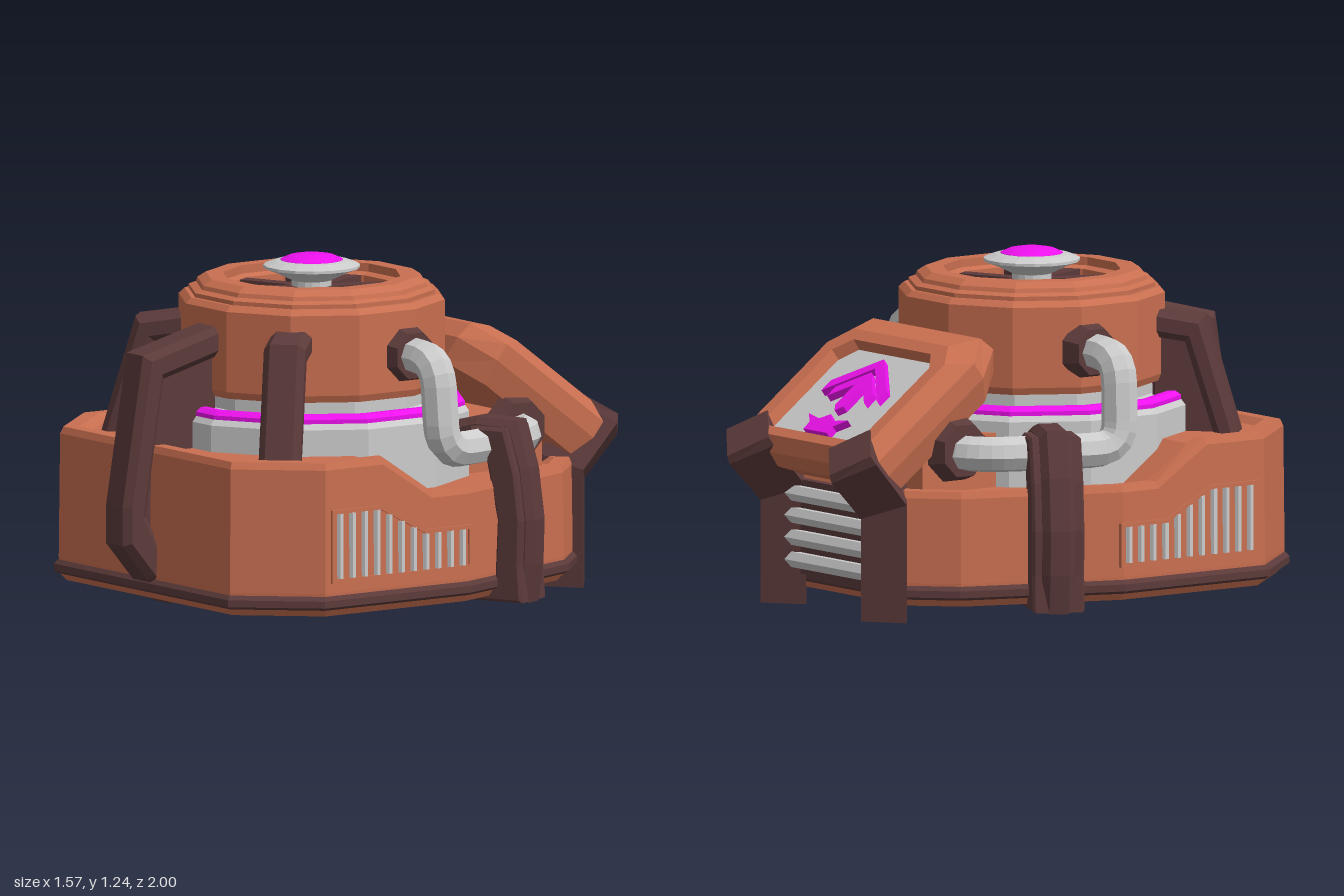
import * as THREE from 'three';

const mat = (color) => new THREE.MeshStandardMaterial({ color, flatShading: true });
const V = (x, y, z) => new THREE.Vector3(x, y, z);
const CZ = 0.13; // z of the turret axis

export function createModel() {
  const orange = mat(0xc96f50), dark = mat(0x5c3a3a), grey = mat(0xcccccc), glow = mat(0xee11ee);
  const model = new THREE.Group();

  const add = (name, geometry, material, parent = model) => {
    const mesh = new THREE.Mesh(geometry, material);
    mesh.name = name;
    parent.add(mesh);
    return mesh;
  };

  // Closed skin through stacked loops (anticlockwise from above), capped at both ends
  const loft = (rings) => {
    const pos = [], n = rings[0].length;
    const quad = (a, b, c, d) => [a, b, c, a, c, d].forEach((p) => pos.push(p.x, p.y, p.z));
    for (let k = 0; k < rings.length - 1; k++)
      for (let i = 0; i < n; i++) {
        const j = (i + 1) % n;
        quad(rings[k][i], rings[k][j], rings[k + 1][j], rings[k + 1][i]);
      }
    const lo = rings[0], hi = rings[rings.length - 1];
    for (let i = 0; i < n / 2 - 1; i++) {
      quad(hi[i], hi[i + 1], hi[n - 2 - i], hi[n - 1 - i]);
      quad(lo[n - 1 - i], lo[n - 2 - i], lo[i + 1], lo[i]);
    }
    const g = new THREE.BufferGeometry();
    g.setAttribute('position', new THREE.Float32BufferAttribute(pos, 3));
    g.computeVertexNormals();
    return g;
  };
  // Full loop from its +x half, listed front to back
  const mirrorRing = (half) => [...half, ...half.slice().reverse().map((p) => V(-p.x, p.y, p.z))];

  const polygon = (pts) => new THREE.Shape(pts.map((p) => new THREE.Vector2(p[0], p[1])));
  const plate = (pts, width, bevel) => new THREE.ExtrudeGeometry(polygon(pts), {
    depth: width - 2 * bevel, bevelEnabled: bevel > 0, bevelSize: bevel, bevelThickness: bevel,
    bevelOffset: -bevel, bevelSegments: 1,
  }).translate(0, 0, bevel - width / 2);

  // Hull: tall at the front, stepping down to the rear
  const outline = [[0.53, 0.88], [0.76, 0.62], [0.76, 0.36], [0.76, 0.14], [0.76, -0.02], [0.55, -0.6], [0.4, -0.75]];
  const hullRing = (s, height) => mirrorRing(outline.map(([x, z]) => V(x * s, height(z), 0.05 + (z - 0.05) * s)));
  const level = (y) => () => y;
  const top = (drop) => (z) => (z > 0.3 ? 0.61 : 0.47) - drop;
  add('hull', loft([hullRing(0.955, level(0.055)), hullRing(0.98, level(0.08)), hullRing(0.985, level(0.14)),
    hullRing(0.98, top(0.025)), hullRing(0.968, top(0)), hullRing(0.91, top(0)), hullRing(0.88, top(0.025))]), orange);
  add('skirtTrim', loft([hullRing(0.985, level(0.08)), hullRing(1.003, level(0.09)),
    hullRing(1.003, level(0.115)), hullRing(0.987, level(0.13))]), dark);

  // Turret: twelve-sided rings turned about one axis, flats facing forward
  const turned = (name, pts, material, sides = 12) => {
    const k = 1 / Math.cos(Math.PI / sides);
    const g = new THREE.LatheGeometry(pts.map(([r, y]) => new THREE.Vector2(r * k, y)), sides, Math.PI / sides);
    add(name, g, material).position.z = CZ;
  };
  turned('drum', [[0.55, 0.4], [0.55, 0.68], [0.535, 0.7], [0.42, 0.715], [0.42, 0.8]], grey);
  turned('glowRing', [[0.5, 0.69], [0.535, 0.695], [0.535, 0.715], [0.515, 0.73], [0.49, 0.73], [0.48, 0.7]], glow);
  turned('turretBody', [[0.38, 0.765], [0.455, 0.765], [0.465, 0.79], [0.465, 1.08], [0.445, 1.1], [0.43, 1.1],
    [0.43, 1.115], [0.405, 1.125], [0.4, 1.14], [0.37, 1.16], [0.31, 1.16], [0.31, 1.13], [0.285, 1.12],
    [0.285, 1.08]], orange);
  turned('fanRing', [[0.29, 1.08], [0.265, 1.08], [0.265, 1.04]], dark);
  turned('fanWell', [[0.27, 1.05], [0.235, 1.05], [0.235, 1.0], [0.19, 1.0], [0.19, 0.97], [0, 0.97]], orange);
  turned('fanHub', [[0.07, 0.97], [0.07, 1.14], [0.13, 1.17], [0.17, 1.185], [0.17, 1.195], [0.13, 1.21], [0.1, 1.215]], grey, 16);
  turned('hubLamp', [[0.115, 1.205], [0.11, 1.215], [0.08, 1.228], [0.04, 1.235], [0, 1.237]], glow, 20);
  for (let i = 0; i < 8; i++) {
    const spoke = add('fanSpoke', new THREE.BoxGeometry(0.055, 0.06, 0.25).translate(0, 1.09, 0.19), dark);
    spoke.position.z = CZ;
    spoke.rotation.y = (i + 0.5) * Math.PI / 4;
  }

  // Ribs: radial outlines (radius, height) turned to an angle from the front
  const rib = (name, angle, z, bar, barWidth, web, webWidth) => {
    const g = new THREE.Group();
    g.name = name;
    g.position.z = z;
    g.rotation.y = angle - Math.PI / 2;
    add('ribBar', plate(bar, barWidth, 0.025), dark, g);
    add('ribWeb', plate(web, webWidth, 0.01), dark, g);
    model.add(g);
  };
  rib('frontRib', 0, CZ,
    [[0.42, 1.03], [0.78, 0.94], [0.87, 0.4], [0.87, 0.26], [0.76, 0.13], [0.66, 0.035], [0.58, 0.06], [0.68, 0.2],
      [0.77, 0.36], [0.69, 0.85], [0.42, 0.92]], 0.15,
    [[0.44, 0.95], [0.73, 0.89], [0.82, 0.4], [0.82, 0.28], [0.72, 0.17], [0.45, 0.4]], 0.07);
  for (const s of [1, -1]) {
    rib('diagonalRib', s * Math.PI / 4, CZ,
      [[0.42, 1.03], [0.63, 1.0], [0.76, 0.56], [0.67, 0.56], [0.56, 0.91], [0.42, 0.93]], 0.15,
      [[0.44, 0.95], [0.58, 0.92], [0.69, 0.57], [0.44, 0.57]], 0.07);
    // narrow ridge over a wider pad gripping the hull edge
    rib('sideClamp', s * 2.016, 0.05,
      [[0.5, 0.66], [0.62, 0.69], [0.78, 0.685], [0.83, 0.52], [0.855, 0.33], [0.85, 0.17], [0.83, 0.03], [0.74, 0.03],
        [0.75, 0.33], [0.68, 0.57], [0.5, 0.57]], 0.12,
      [[0.6, 0.6], [0.62, 0.66], [0.76, 0.66], [0.805, 0.5], [0.825, 0.33], [0.82, 0.17], [0.83, 0.035], [0.58, 0.035],
        [0.58, 0.075], [0.72, 0.1], [0.73, 0.33], [0.68, 0.57]], 0.19);
  }

  // Side pipes with rounded corners, ending in octagonal flanges
  const pipePath = (pts, r) => {
    const path = new THREE.CurvePath();
    let from = pts[0];
    for (let i = 1; i < pts.length - 1; i++) {
      const p = pts[i];
      const a = p.clone().add(pts[i - 1].clone().sub(p).setLength(r));
      const b = p.clone().add(pts[i + 1].clone().sub(p).setLength(r));
      path.add(new THREE.LineCurve3(from, a));
      path.add(new THREE.QuadraticBezierCurve3(a, p, b));
      from = b;
    }
    path.add(new THREE.LineCurve3(from, pts[pts.length - 1]));
    return path;
  };
  for (const s of [1, -1]) {
    const pts = [V(0.46, 0.92, 0.04), V(0.64, 0.92, 0.04), V(0.66, 0.59, 0.03), V(0.61, 0.59, -0.2), V(0.5, 0.59, -0.47), V(0.36, 0.59, -0.5)];
    pts.forEach((p) => { p.x *= s; });
    add('sidePipe', new THREE.TubeGeometry(pipePath(pts, 0.1), 32, 0.065, 8), grey);
    for (const [x, y, z, r] of [[0.475, 0.92, 0.04, 0.11], [0.4, 0.6, -0.49, 0.125]]) {
      const g = new THREE.CylinderGeometry(r * 0.8, r, 0.07, 8).rotateY(Math.PI / 8).rotateZ(-s * Math.PI / 2);
      add('pipeFlange', g, dark).position.set(s * x, y, z);
    }
  }

  // Side vents: thin frame around upright bars
  const ventTop = (z) => (z > 0.37 ? 0.425 : z > 0.17 ? 0.425 - (0.37 - z) * 0.525 : 0.32);
  for (const s of [1, -1]) {
    const edge = (m) => [[0.57 + m, 0.19 - m], [-0.02 - m, 0.19 - m], [-0.02 - m, 0.32 + m], [0.17, 0.32 + m],
      [0.37, 0.425 + m], [0.57 + m, 0.425 + m]].map(([z, y]) => [-s * z, y]);
    const frame = polygon(edge(0.015));
    frame.holes.push(polygon(edge(0)));
    const frameGeometry = new THREE.ExtrudeGeometry(frame, { depth: 0.03, bevelEnabled: false }).translate(0, 0, -0.015);
    add('ventFrame', frameGeometry.rotateY(s * Math.PI / 2), orange).position.x = s * 0.74;
    for (let i = 0; i < 11; i++) {
      const z = 0.545 - i * 0.054, h = ventTop(z) - 0.19;
      add('ventBar', new THREE.CylinderGeometry(0.014, 0.014, h, 6), grey).position.set(s * 0.747, 0.19 + h / 2, z);
    }
  }

  // Rear housing: sloped slab with a recessed panel
  const housing = new THREE.Group();
  housing.name = 'rearHousing';
  housing.position.set(0, 0.815, -0.64);
  housing.rotation.x = -0.6435;
  model.add(housing);
  const slab = (y, a, b, c, d, e) => mirrorRing([V(a, y, b), V(c, y, d), V(c, y, e)]);
  add('housingShell', loft([slab(-0.21, 0.28, 0.33, 0.38, 0.19, -0.3), slab(-0.12, 0.32, 0.36, 0.41, 0.22, -0.36),
    slab(-0.05, 0.32, 0.34, 0.41, 0.22, -0.36), slab(0, 0.28, 0.235, 0.35, 0.15, -0.32),
    slab(0, 0.23, 0.185, 0.29, 0.12, -0.28), slab(-0.055, 0.22, 0.175, 0.27, 0.11, -0.265)]), orange, housing);
  add('housingPanel', loft([slab(-0.06, 0.22, 0.175, 0.275, 0.11, -0.265), slab(-0.04, 0.22, 0.175, 0.275, 0.11, -0.265)]), grey, housing);
  // Chevron markings, each given by its +x half
  for (const half of [
    [[0, 0.13], [0.165, -0.01], [0.165, -0.065], [0, 0.08]],
    [[0, 0.06], [0.11, -0.035], [0.11, -0.085], [0.025, -0.01], [0.025, -0.12], [0, -0.145]],
    [[0, -0.255], [0.07, -0.255], [0.07, -0.22], [0.115, -0.18], [0.04, -0.195], [0, -0.165]]]) {
    const full = [...half, ...half.slice(1, -1).reverse().map(([x, y]) => [-x, y])];
    add('chevron', plate(full, 0.04, 0).rotateX(Math.PI / 2), glow, housing).position.y = -0.032;
  }
  add('housingSupport', new THREE.BoxGeometry(0.72, 0.24, 0.45).translate(0, 0.52, -0.4), orange);

  // Rear posts: diamond section, leaning back into a tilted head
  const diamond = (x, zf, yf, zb, yb, w) => [V(x + w, (yf + yb) / 2, (zf + zb) / 2), V(x, yb, zb), V(x - w, (yf + yb) / 2, (zf + zb) / 2), V(x, yf, zf)];
  for (const s of [1, -1])
    add('rearPost', loft([diamond(s * 0.3, -0.65, 0, -0.855, 0, 0.135), diamond(s * 0.3, -0.65, 0.48, -0.855, 0.37, 0.135),
      diamond(s * 0.305, -0.8, 0.66, -0.99, 0.51, 0.14), diamond(s * 0.305, -0.82, 0.69, -1.0, 0.54, 0.125)]), dark);

  // Rear grille between the posts
  add('grilleBacking', new THREE.BoxGeometry(0.46, 0.34, 0.04).translate(0, 0.28, -0.745), dark);
  for (let i = 0; i < 4; i++)
    add('grilleSlat', new THREE.CylinderGeometry(0.032, 0.032, 0.46, 6).rotateZ(Math.PI / 2), grey).position.set(0, 0.16 + i * 0.08, -0.77);

  return model;
}
